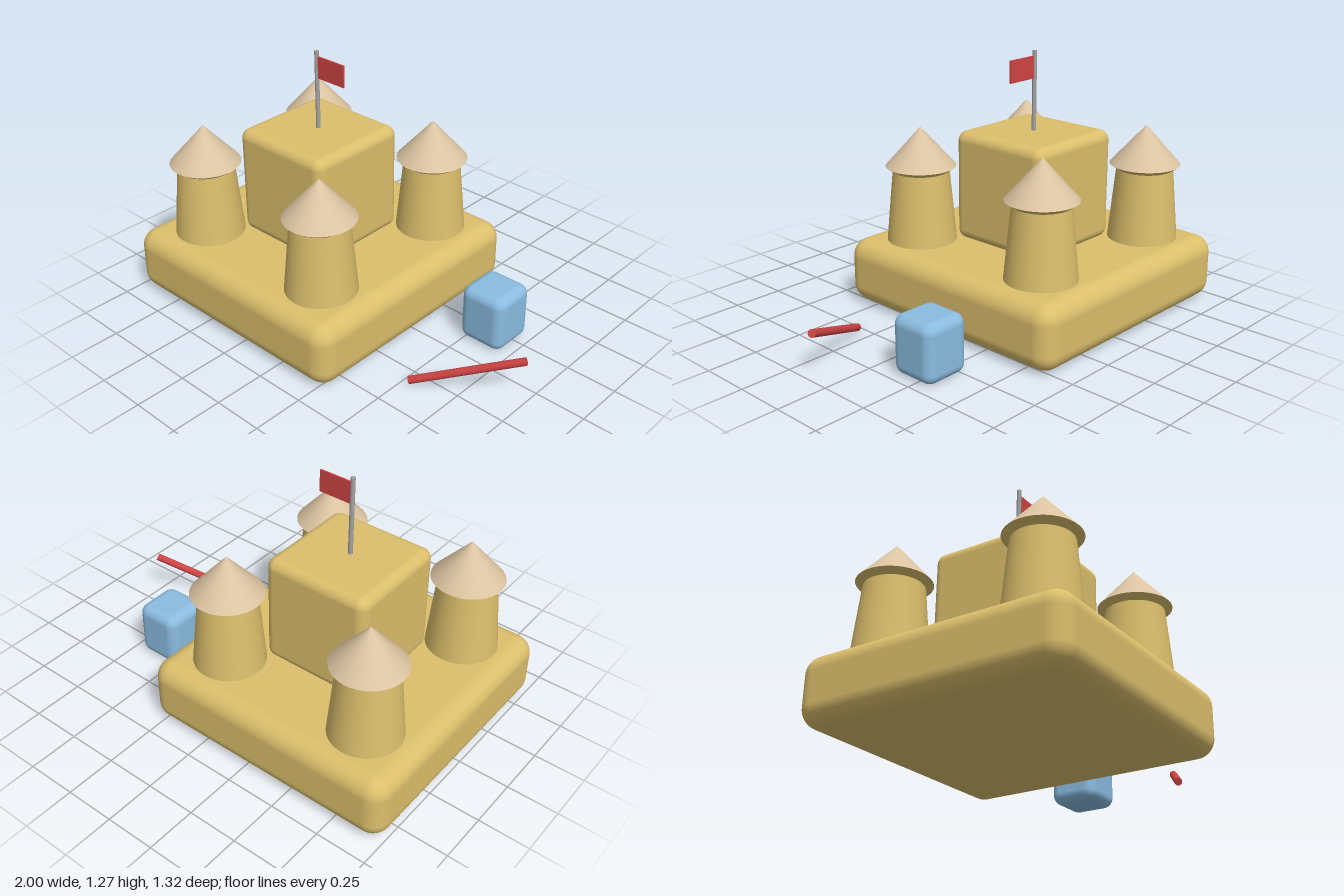
import * as THREE from 'three';
import { RoundedBoxGeometry } from 'three/addons/geometries/RoundedBoxGeometry.js';

const mat = (name, color) => {
  const m = new THREE.MeshStandardMaterial({ color });
  m.name = name;
  return m;
};

export function createModel() {
  const group = new THREE.Group();
  const sand = mat('sand', 0xdcbf6c);
  const roofSand = mat('pale sand', 0xdcc4a2);
  const blue = mat('blue', 0x8abce0);
  const red = mat('red', 0xcf4444);
  const grey = mat('grey', 0xa3a3a3);

  const add = (name, geometry, material, x, y, z, parent = group) => {
    const mesh = new THREE.Mesh(geometry, material);
    mesh.name = name;
    mesh.position.set(x, y, z);
    parent.add(mesh);
    return mesh;
  };

  // Castle base and central keep
  const cx = -0.343;
  add('base', new RoundedBoxGeometry(1.315, 0.326, 1.315, 6, 0.09), sand, cx, 0.166, 0);
  add('keep', new RoundedBoxGeometry(0.546, 0.55, 0.546, 6, 0.05), sand, cx, 0.604, 0);

  // Four corner towers, each with a flared rim and a cone roof
  const body = new THREE.CylinderGeometry(0.138, 0.173, 0.37, 40);
  const rim = new THREE.CylinderGeometry(0.173, 0.142, 0.022, 40);
  const roof = new THREE.ConeGeometry(0.173, 0.195, 40);
  for (const sx of [-1, 1]) {
    for (const sz of [-1, 1]) {
      const tower = new THREE.Group();
      tower.name = 'tower';
      tower.position.set(cx + sx * 0.389, 0, sz * 0.389);
      add('towerBody', body, sand, 0, 0.512, 0, tower);
      add('towerRim', rim, sand, 0, 0.695, 0, tower);
      add('towerRoof', roof, roofSand, 0, 0.8035, 0, tower);
      group.add(tower);
    }
  }

  // Flag on its pole
  add('flagPole', new THREE.CylinderGeometry(0.011, 0.011, 0.4, 12), grey, cx, 1.07, 0);
  add('flag', new THREE.BoxGeometry(0.164, 0.109, 0.009), red, cx + 0.092, 1.19, 0);

  // Blue bucket beside the castle
  add('bucket', new RoundedBoxGeometry(0.24, 0.286, 0.24, 6, 0.05), blue, 0.59, 0.143, -0.222);

  // Spade handle leaning up from the ground
  const low = new THREE.Vector3(0.535, 0.021, 0.332);
  const high = new THREE.Vector3(0.99, 0.225, 0.086);
  const dir = high.clone().sub(low);
  const mid = low.clone().add(high).multiplyScalar(0.5);
  const stick = add('spadeHandle', new THREE.CylinderGeometry(0.019, 0.019, dir.length(), 10), red, mid.x, mid.y, mid.z);
  stick.quaternion.setFromUnitVectors(new THREE.Vector3(0, 1, 0), dir.normalize());

  return group;
}
